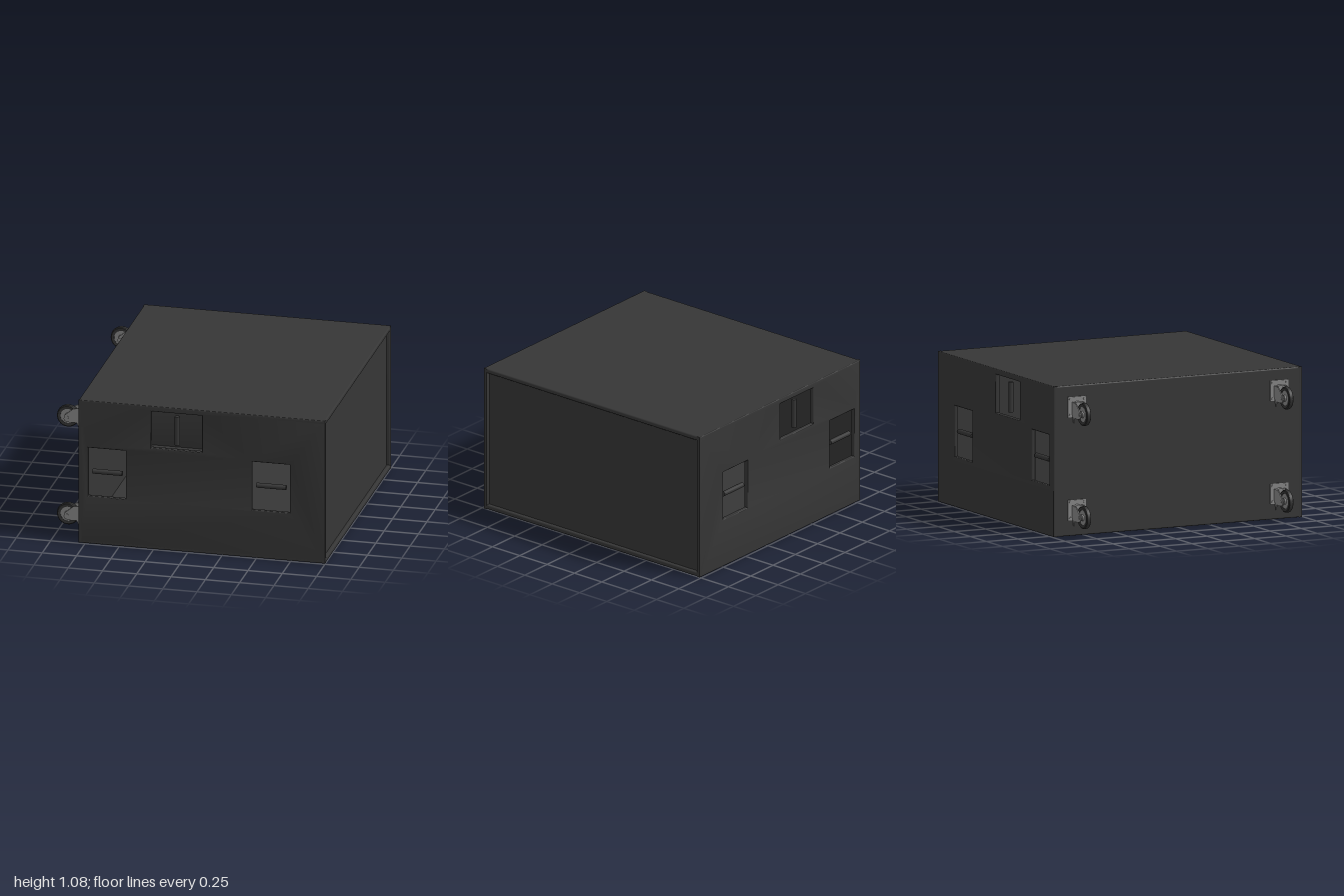
import * as THREE from 'three';
import { RoundedBoxGeometry } from 'three/addons/geometries/RoundedBoxGeometry.js';
import { toCreasedNormals } from 'three/addons/utils/BufferGeometryUtils.js';

const X0 = -0.8, X1 = 1, H = 1.08, Z = 0.99, T = 0.033, R = 0.01;

export function createModel() {
  const model = new THREE.Group();
  model.name = 'wheeledCabinet';
  const mat = (name, color) => {
    const m = new THREE.MeshStandardMaterial({ color });
    m.name = name;
    return m;
  };
  const black = mat('blackPaint', 0x363636);
  const rubber = mat('darkRubber', 0x333333);
  const steel = mat('greySteel', 0x858585);

  const add = (parent, name, geo, material, x = 0, y = 0, z = 0) => {
    const mesh = new THREE.Mesh(geo, material);
    mesh.name = name;
    mesh.position.set(x, y, z);
    parent.add(mesh);
    return mesh;
  };
  const rect = (Type, x0, x1, y0, y1) => {
    const s = new Type();
    s.moveTo(x0, y0).lineTo(x1, y0).lineTo(x1, y1).lineTo(x0, y1).closePath();
    return s;
  };

  // Hollow cabinet: floor, lid, caster wall and recessed front grille
  const cx = (X0 + X1) / 2, w = X1 - X0;
  const slab = () => new RoundedBoxGeometry(w, T, Z * 2, 3, R);
  add(model, 'floorPanel', slab(), black, cx, T / 2, 0);
  add(model, 'lidPanel', slab(), black, cx, H - T / 2, 0);
  add(model, 'casterWall', new RoundedBoxGeometry(T, H, Z * 2, 3, R), black, X0 + T / 2, H / 2, 0);
  add(model, 'grillePanel', new THREE.BoxGeometry(0.02, H - 0.058, Z * 2 - 0.058), black, X1 - 0.035, H / 2, 0);

  // Side panels with three handle openings: [x0, x1, y0, y1, bar is vertical]
  const openings = [
    [-0.27, 0.1, 0.765, 1.04, true],
    [-0.73, -0.455, 0.36, 0.725, false],
    [0.465, 0.74, 0.36, 0.725, false],
  ];
  const outline = rect(THREE.Shape, X0, X1, 0, H);
  for (const [a, b, c, d] of openings) outline.holes.push(rect(THREE.Path, a, b, c, d));
  const bevel = 0.007;
  const panel = toCreasedNormals(new THREE.ExtrudeGeometry(outline, {
    depth: T - 2 * bevel, bevelThickness: bevel, bevelSize: bevel, bevelOffset: -bevel, bevelSegments: 3,
  }), 0.6);
  panel.translate(0, 0, bevel);
  for (const s of [1, -1]) {
    add(model, s > 0 ? 'frontPanel' : 'backPanel', panel, black, 0, 0, s > 0 ? Z - T : -Z);
    for (const [a, b, c, d, vertical] of openings) {
      const bar = add(model, 'handleBar', new THREE.CylinderGeometry(0.018, 0.018, 0.216, 20), black,
        (a + b) / 2, (c + d) / 2, s * (Z - 0.025));
      if (!vertical) bar.rotation.z = Math.PI / 2;
    }
  }

  // Caster parts, with the axle at the origin and the mount towards +x
  const legShape = new THREE.Shape([
    [-0.015, -0.03], [0.02, -0.037], [0.07, -0.035], [0.086, -0.075], [0.098, -0.025], [0.112, 0],
    [0.112, 0.075], [0.085, 0.075], [0.045, 0.068], [-0.018, 0.015], [-0.025, -0.01],
  ].map(([x, y]) => new THREE.Vector2(x, y)));
  const leg = new THREE.ExtrudeGeometry(legShape, { depth: 0.008, bevelEnabled: false });
  const tire = toCreasedNormals(new THREE.LatheGeometry([
    [0.054, -0.016], [0.074, -0.018], [0.08, -0.013], [0.082, 0],
    [0.08, 0.013], [0.074, 0.018], [0.054, 0.016], [0.054, -0.016],
  ].map(([r, y]) => new THREE.Vector2(r, y)), 36), 0.6);
  tire.rotateX(Math.PI / 2);
  const disc = (r, depth) => new THREE.CylinderGeometry(r, r, depth, 28).rotateX(Math.PI / 2);
  const rim = disc(0.055, 0.026), hub = disc(0.024, 0.05), axle = disc(0.011, 0.092);
  const swivel = new THREE.CylinderGeometry(0.037, 0.042, 0.022, 28).rotateZ(Math.PI / 2);
  const bridge = new THREE.BoxGeometry(0.025, 0.07, 0.068);
  const plate = new THREE.BoxGeometry(0.008, 0.145, 0.145);
  const bolt = new THREE.CylinderGeometry(0.008, 0.008, 0.006, 6).rotateZ(Math.PI / 2);

  for (const y of [0.145, 0.885]) for (const z of [-0.808, 0.803]) {
    const caster = new THREE.Group();
    caster.name = 'caster';
    caster.position.set(-0.918, y, z);
    add(caster, 'tire', tire, rubber);
    add(caster, 'wheelRim', rim, steel);
    add(caster, 'wheelHub', hub, steel);
    add(caster, 'axle', axle, steel);
    for (const lz of [-0.042, 0.034]) add(caster, 'forkLeg', leg, steel, 0, 0, lz);
    add(caster, 'forkBridge', bridge, steel, 0.0985, 0.039, 0);
    add(caster, 'swivel', swivel, steel, 0.102, 0.04, 0);
    add(caster, 'mountPlate', plate, steel, 0.114, 0.04, 0);
    for (const by of [-1, 1]) for (const bz of [-1, 1])
      add(caster, 'plateBolt', bolt, steel, 0.108, 0.04 + by * 0.056, bz * 0.056);
    model.add(caster);
  }
  return model;
}
